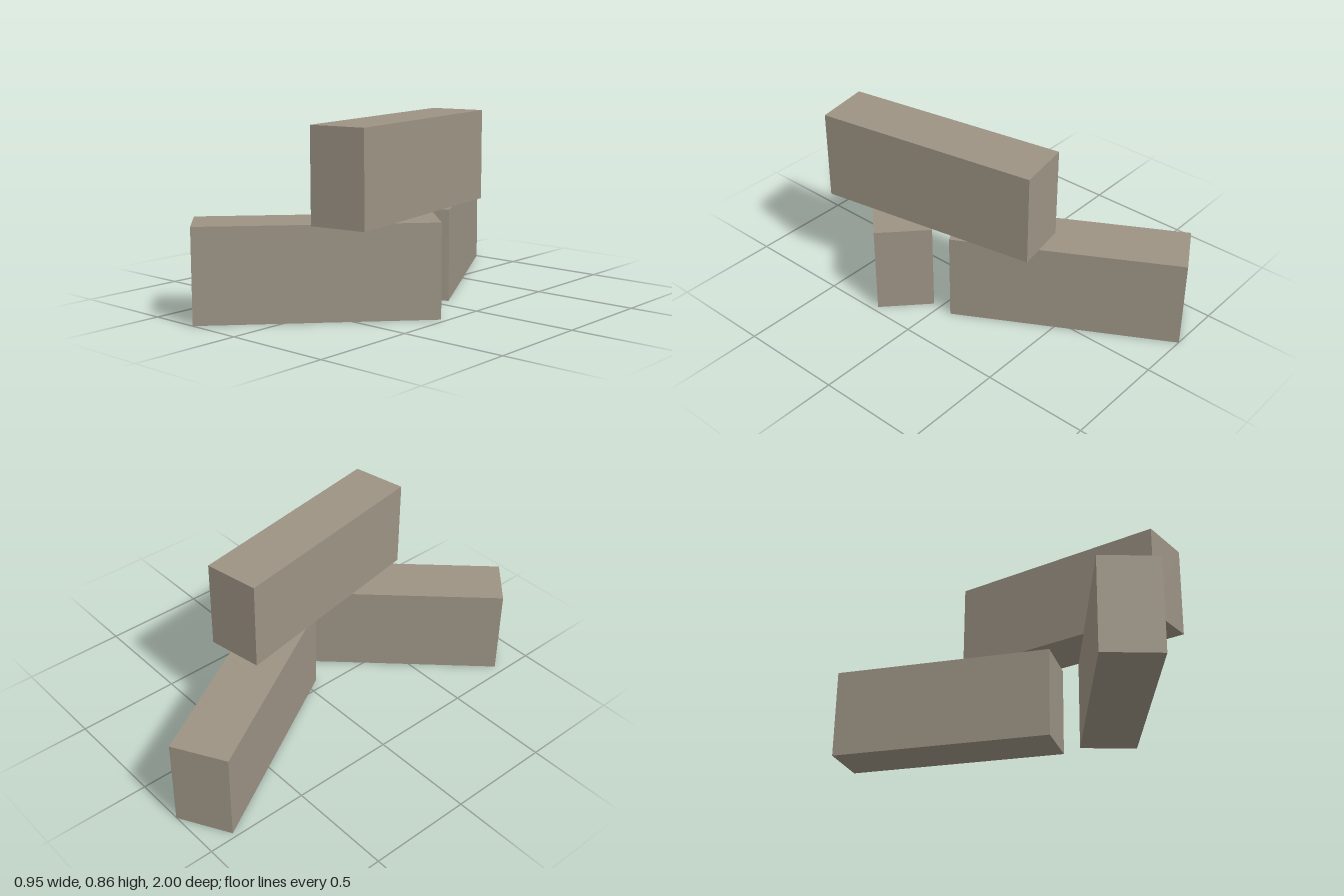
import * as THREE from 'three';

const WIDTH = 0.267, HEIGHT = 0.43, LENGTH = 1.071;

export function createModel() {
  const model = new THREE.Group();
  model.name = 'stackedBlocks';

  const stone = new THREE.MeshStandardMaterial({ color: 0x9c9384 });
  stone.name = 'warm grey stone';

  const geometry = new THREE.BoxGeometry(WIDTH, HEIGHT, LENGTH);

  // One block: its base height, centre on the ground plan and turn about y
  function addBlock(name, x, y, z, degrees) {
    const block = new THREE.Mesh(geometry, stone);
    block.name = name;
    block.position.set(x, y + HEIGHT / 2, z);
    block.rotation.y = THREE.MathUtils.degToRad(degrees);
    model.add(block);
  }

  // Two blocks on the ground in a V, a third laid across them
  addBlock('backBlock', -0.096, 0, -0.47, 29.7);
  addBlock('frontBlock', 0.009, 0, 0.519, -43.4);
  addBlock('topBlock', 0.15, HEIGHT, 0.104, 10);

  return model;
}
